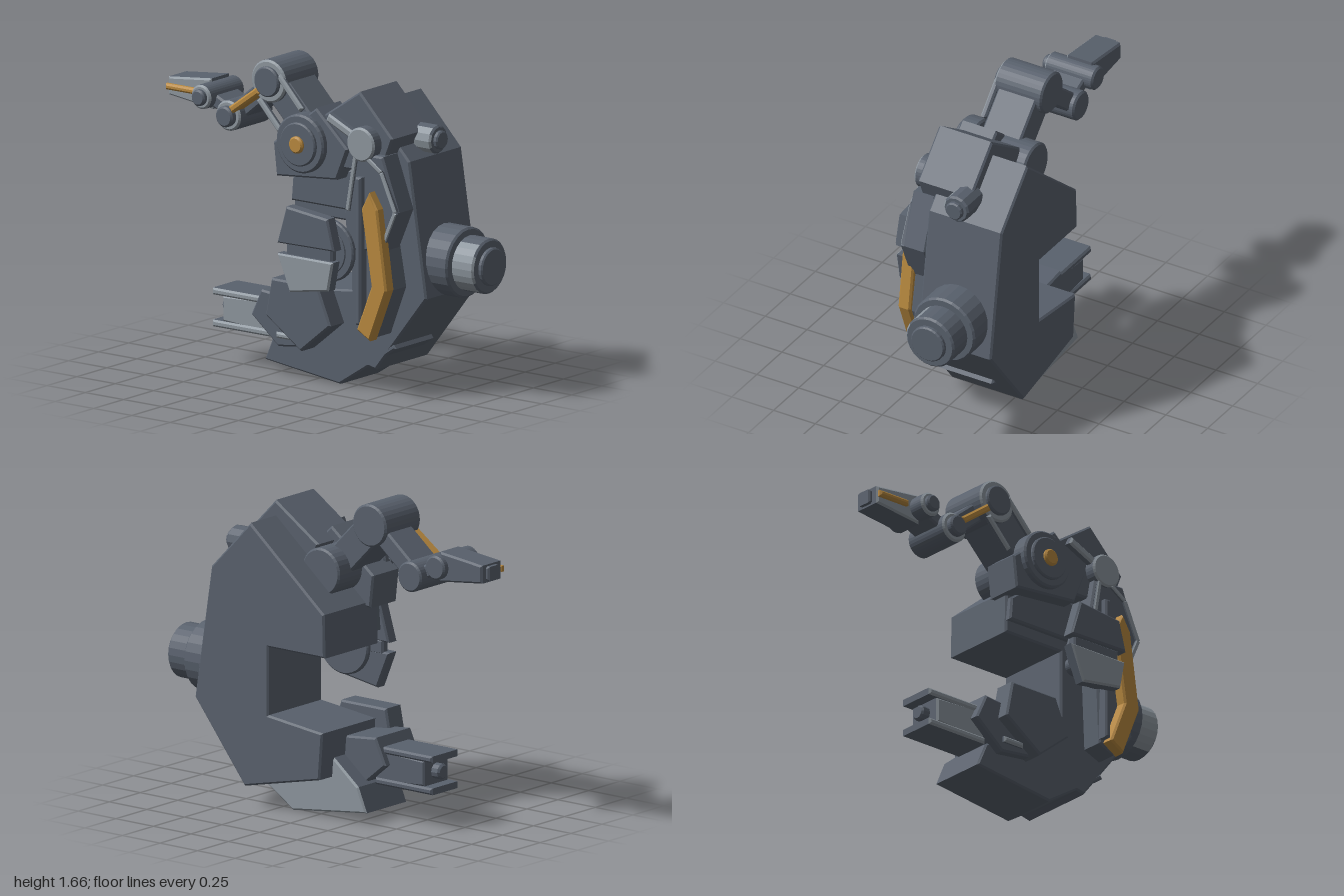
import * as THREE from 'three';

export function createModel() {
  const root = new THREE.Group();
  const mat = (name, color) => Object.assign(new THREE.MeshStandardMaterial({ color }), { name });
  const slate = mat('slate armour', 0x59616d);
  const steel = mat('light steel', 0x8d969e);
  const gold = mat('ochre trim', 0xb8893f);

  const add = (name, geo, material) => {
    const m = new THREE.Mesh(geo, material);
    m.name = name;
    root.add(m);
    return m;
  };

  // steel on faces turned along dir * z, slate on all others
  const paintFaces = (source, dir = 1) => {
    const geo = source.index ? source.toNonIndexed() : source;
    geo.computeVertexNormals();
    geo.clearGroups();
    const n = geo.attributes.normal;
    for (let i = 0; i < n.count; i += 3) geo.addGroup(i, 3, n.getZ(i) * dir > 0.6 ? 1 : 0);
    return geo;
  };
  const frontSteel = [slate, steel];

  // bevelled plate from an outline in x, y, between two depths
  const plateGeo = (pts, z0, z1, bevel = 0.01) => {
    const shape = new THREE.Shape(pts.map(([x, y]) => new THREE.Vector2(x, y)));
    const geo = new THREE.ExtrudeGeometry(shape, {
      depth: z1 - z0 - 2 * bevel, bevelEnabled: bevel > 0, bevelThickness: bevel,
      bevelSize: bevel, bevelOffset: -bevel, bevelSegments: 1
    });
    return geo.translate(0, 0, z0 + bevel);
  };
  const plate = (name, pts, z0, z1, material = slate, bevel) =>
    add(name, plateGeo(pts, z0, z1, bevel), material);
  const steelPlate = (name, pts, z0, z1, bevel, dir) =>
    add(name, paintFaces(plateGeo(pts, z0, z1, bevel), dir), frontSteel);

  // bar running between two points in x, y
  const barPts = ([ax, ay], [bx, by], w) => {
    const l = Math.hypot(bx - ax, by - ay), nx = -(by - ay) / l * w / 2, ny = (bx - ax) / l * w / 2;
    return [[ax - nx, ay - ny], [bx - nx, by - ny], [bx + nx, by + ny], [ax + nx, ay + ny]];
  };

  // drums along z or x, built as bevelled lathes
  const drumGeo = (r, length, sides) => {
    const b = Math.min(0.01, length / 4), h = length / 2;
    const pts = [[0, -h], [r - b, -h], [r, b - h], [r, h - b], [r - b, h], [0, h]];
    const geo = new THREE.LatheGeometry(pts.map(p => new THREE.Vector2(...p)), sides).toNonIndexed();
    geo.computeVertexNormals();
    return geo;
  };
  const drumZ = (name, x, y, r, z0, z1, material = slate, sides = 32) => {
    const geo = drumGeo(r, z1 - z0, sides).rotateX(Math.PI / 2).translate(x, y, (z0 + z1) / 2);
    return add(name, material === frontSteel ? paintFaces(geo) : geo, material);
  };
  const drumX = (name, y, z, r, x0, x1, material = slate, sides = 24) => {
    const geo = drumGeo(r, x1 - x0, sides).rotateZ(-Math.PI / 2).translate((x0 + x1) / 2, y, z);
    return add(name, material === frontSteel ? paintFaces(geo) : geo, material);
  };

  // C-shaped main body
  plate('mainBody', [
    [0.36, 1.51], [-0.13, 1.10], [-0.135, 0.87], [0.24, 0.87], [0.24, 0.51], [-0.12, 0.47],
    [-0.1, 0.22], [0.40, 0.11], [0.73, 0.53], [0.62, 1.24]
  ], -0.39, 0.05);
  plate('upperLip', [[-0.13, 0.935], [0.38, 0.935], [0.4, 1.15], [0, 1.15], [-0.12, 1.06]], 0.03, 0.08);

  // keel below the lower jaw
  steelPlate('keel', [
    [-0.325, 0.06], [0.165, 0], [0.35, 0.12], [0.4, 0.115], [0.5, 0.25], [0.3, 0.45], [0.05, 0.45], [-0.27, 0.19]
  ], -0.285, 0.05, 0.01, -1);
  plate('keelBar', barPts([0.42, 0.18], [0.52, 0.25], 0.03), -0.28, 0.05);

  // layered shoulder and flank plates
  plate('topBlock', [[0.365, 1.59], [0.58, 1.37], [0.5, 1.17], [0.18, 1.17], [0.08, 1.4]], -0.18, 0.14);
  plate('flankPlate', [
    [0.36, 1.28], [0.55, 1.28], [0.655, 1.0], [0.56, 0.78], [0.32, 0.76], [0.3, 0.95]
  ], 0.05, 0.185);
  plate('lowerFlank', [[0.38, 0.8], [0.56, 0.8], [0.6, 0.58], [0.5, 0.32], [0.4, 0.36]], 0.04, 0.17);
  plate('shoulderPlate', [
    [-0.16, 1.075], [0.235, 1.11], [0.305, 1.28], [0.1, 1.47], [-0.18, 1.25]
  ], -0.05, 0.165);
  plate('lowerPentagon', [[-0.23, 0.33], [-0.19, 0.53], [0.11, 0.53], [0.195, 0.33], [0, 0.17]], 0.04, 0.167);
  plate('flankStrip', barPts([0.417, 1.16], [0.417, 0.38], 0.036), 0.13, 0.222);

  // steel edging on the flank
  [[[0.46, 1.26], [0.55, 1.2]], [[0.55, 1.2], [0.64, 1.0]], [[0.64, 1.0], [0.57, 0.84]],
    [[0.38, 1.26], [0.33, 0.97]]].forEach(([a, b]) =>
    steelPlate('flankEdging', barPts(a, b, 0.025), 0.15, 0.2, 0.005));

  // ochre chevron
  plate('chevron', [
    [0.5, 1.095], [0.45, 1.0], [0.515, 0.6], [0.42, 0.36], [0.505, 0.31], [0.615, 0.59], [0.555, 1.01]
  ], 0.165, 0.238, gold);

  // pivot with lever
  drumZ('pivotDisc', 0.42, 1.33, 0.09, 0.12, 0.205, frontSteel);
  steelPlate('pivotLever', barPts([0.4, 1.345], [0.19, 1.44], 0.045), 0.14, 0.19);

  // side drum and knob
  drumX('sideDrumBase', 0.70, -0.17, 0.185, 0.55, 0.835);
  drumX('sideDrumStep', 0.70, -0.17, 0.145, 0.83, 0.975, frontSteel);
  drumX('sideDrumCap', 0.70, -0.17, 0.1, 0.97, 1.0);
  drumX('knob', 1.33, -0.14, 0.076, 0.5, 0.665, frontSteel, 12);
  drumX('knobCap', 1.33, -0.14, 0.05, 0.66, 0.69, slate, 12);

  // floating grip with discs behind it
  drumZ('gripDisc', 0.265, 0.765, 0.165, 0.245, 0.277);
  drumZ('gripThinDisc', 0.265, 0.765, 0.125, 0.284, 0.294);
  drumZ('gripAxle', 0.265, 0.765, 0.05, 0.1, 0.33);
  plate('gripUpper', [[0.08, 0.99], [0.35, 0.96], [0.392, 0.795], [0.02, 0.79]], 0.315, 0.39);
  plate('gripMiddle', [[0.06, 0.72], [0.36, 0.72], [0.36, 0.8], [0.06, 0.8]], 0.318, 0.365);
  steelPlate('gripLower', [[0.02, 0.735], [0.385, 0.735], [0.355, 0.58], [0.1, 0.54]], 0.32, 0.39);

  // shoulder joint
  const S = [0.02, 1.275], E = [-0.25, 1.55], W = [-0.525, 1.325], K = [-0.695, 1.4];
  drumZ('shoulderDrum', ...S, 0.125, -0.235, 0.1);
  drumZ('shoulderDisc', ...S, 0.155, 0.1, 0.2);
  drumZ('shoulderRing', ...S, 0.115, 0.19, 0.218);
  drumZ('shoulderCap', ...S, 0.045, 0.2, 0.237, gold);

  // arm links and joints
  plate('upperArm', barPts(S, E, 0.17), -0.14, 0.09);
  plate('forearm', barPts(E, W, 0.1), -0.15, 0.05);
  plate('wristLink', barPts(W, K, 0.07), -0.13, 0.06);
  [['elbow', E, 0.113, 0.08, -0.17, 0.115, 0.135], ['wrist', W, 0.08, 0.055, -0.18, 0.1, 0.137],
    ['knuckle', K, 0.064, 0.043, -0.18, 0.11, 0.137]].forEach(([name, p, r, ri, z0, z1, z2]) => {
    drumZ(name + 'Drum', ...p, r, z0, z1, frontSteel);
    drumZ(name + 'Cap', ...p, ri, z1 - 0.01, z2);
  });
  steelPlate('upperPiston', barPts([-0.18, 1.59], [-0.03, 1.43], 0.035), 0.09, 0.125);
  steelPlate('lowerPiston', barPts([-0.31, 1.45], [-0.17, 1.3], 0.035), 0.09, 0.125);
  plate('forearmTrim', barPts([-0.49, 1.365], [-0.31, 1.495], 0.038), 0.04, 0.13, gold);

  // finger
  steelPlate('finger', [[-0.98, 1.45], [-0.7, 1.48], [-0.69, 1.32], [-0.98, 1.355]], -0.145, 0.017);
  plate('fingerTip', [[-1, 1.365], [-0.96, 1.365], [-0.96, 1.44], [-1, 1.44]], -0.11, -0.025);
  plate('fingerTrim', barPts([-0.98, 1.403], [-0.785, 1.403], 0.032), 0.01, 0.045, gold);

  // lower barrel with rails
  plate('barrelMount', [
    [-0.375, 0.3], [-0.31, 0.44], [-0.1, 0.42], [0.05, 0.3], [0, 0.18], [-0.2, 0.155]
  ], -0.19, 0.1);
  steelPlate('barrel', [[-0.6, 0.22], [-0.28, 0.2], [-0.28, 0.37], [-0.6, 0.355]], -0.15, 0.05);
  [0.203, 0.372].forEach(y =>
    steelPlate('barrelRail', barPts([-0.66, y], [-0.28, y], 0.036), -0.16, 0.06));
  drumX('barrelTip', 0.288, -0.05, 0.042, -0.65, -0.58, slate, 12);
  steelPlate('mountBar', barPts([-0.2, 0.22], [-0.07, 0.22], 0.032), 0.08, 0.12);

  return root;
}
